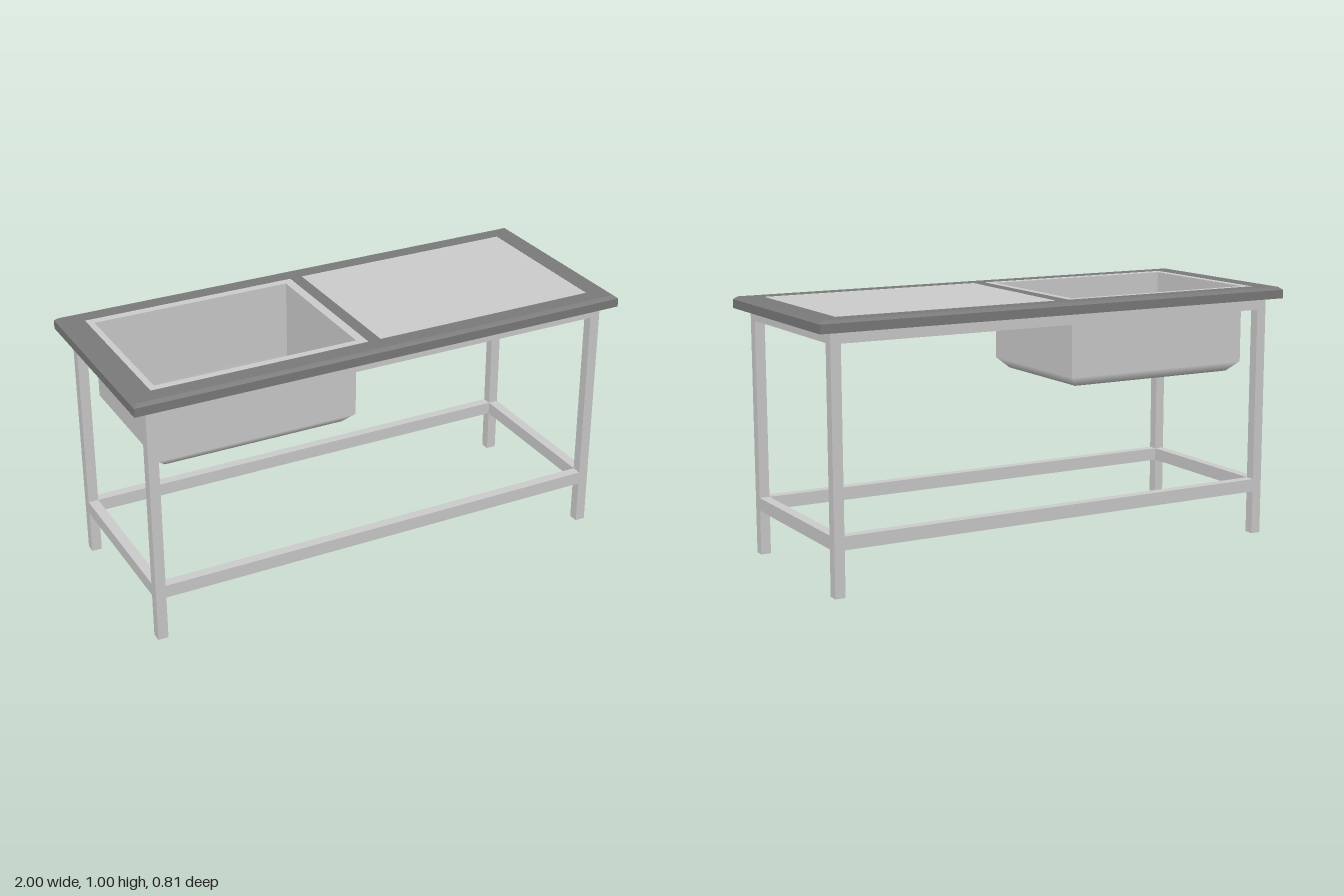
import * as THREE from 'three';

const steel = new THREE.MeshStandardMaterial({ color: 0xcccccc });
const sheet = new THREE.MeshStandardMaterial({ color: 0xcccccc, side: THREE.DoubleSide });
const dark = new THREE.MeshStandardMaterial({ color: 0x7a7a7a });

// Plan rectangles: [x0, x1, z0, z1]
const TOP = [-1, 1, -0.407, 0.407];
const SINK_INLAY = [-0.905, -0.05, -0.325, 0.325];
const DRAIN_INLAY = [0, 0.905, -0.325, 0.325];
const BASIN = [-0.88, -0.085, -0.293, 0.293];
const RIM_Y = 0.96, TOP_Y = 1.005;

function rectPath(Type, [x0, x1, z0, z1]) {
  return new Type([[x0, z0], [x1, z0], [x1, z1], [x0, z1]].map(([x, z]) => new THREE.Vector2(x, -z)));
}

// Horizontal plate with rectangular holes, from y0 to y1
function plateGeometry(rect, holes, y0, y1, steps = 1) {
  const shape = rectPath(THREE.Shape, rect);
  shape.holes = holes.map((h) => rectPath(THREE.Path, h));
  return new THREE.ExtrudeGeometry(shape, { depth: y1 - y0, steps, bevelEnabled: false })
    .rotateX(-Math.PI / 2).translate(0, y0, 0);
}

function add(parent, name, geometry, material) {
  const mesh = new THREE.Mesh(geometry, material);
  mesh.name = name;
  parent.add(mesh);
  return mesh;
}

function addBox(parent, name, w, h, d, x, y, z) {
  add(parent, name, new THREE.BoxGeometry(w, h, d), steel).position.set(x, y, z);
}

// Open basin: four walls with a softly shaded chamfer down to a flat floor
function basinGeometry([x0, x1, z0, z1], top, knee, floor, inset) {
  const ring = (i, y) => [[x0 + i, y, z1 - i], [x1 - i, y, z1 - i], [x1 - i, y, z0 + i], [x0 + i, y, z0 + i]];
  const rings = [ring(0, top), ring(0, knee), ring(inset, floor)];
  const sides = [[0, 0, 1], [1, 0, 0], [0, 0, -1], [-1, 0, 0]];
  const down = [0, -1, 0];
  const pos = [], nor = [], idx = [];
  const quad = (corners, normals) => {
    const b = pos.length / 3;
    corners.forEach((c) => pos.push(...c));
    normals.forEach((n) => nor.push(...n));
    idx.push(b, b + 1, b + 2, b, b + 2, b + 3);
  };
  sides.forEach((n, i) => {
    const j = (i + 1) % 4;
    for (let r = 0; r < 2; r++) {
      const low = r ? down : n;
      quad([rings[r + 1][i], rings[r + 1][j], rings[r][j], rings[r][i]], [low, low, n, n]);
    }
  });
  quad([...rings[2]].reverse(), [down, down, down, down]);
  const g = new THREE.BufferGeometry();
  g.setAttribute('position', new THREE.Float32BufferAttribute(pos, 3));
  g.setAttribute('normal', new THREE.Float32BufferAttribute(nor, 3));
  g.setIndex(idx);
  return g;
}

// Dark border of the worktop, its upper outer edge chamfered
function borderGeometry() {
  const g = plateGeometry(TOP, [SINK_INLAY, DRAIN_INLAY], RIM_Y, TOP_Y, 4);
  const p = g.attributes.position;
  const limit = (v, m) => Math.max(-m, Math.min(m, v));
  for (let i = 0; i < p.count; i++) {
    if (p.getY(i) > TOP_Y - 0.001) {
      p.setX(i, limit(p.getX(i), TOP[1] - 0.015));
      p.setZ(i, limit(p.getZ(i), TOP[3] - 0.015));
    }
  }
  g.computeVertexNormals();
  return g;
}

export function createModel() {
  const model = new THREE.Group();
  model.name = 'sinkTable';

  // Worktop
  const worktop = new THREE.Group();
  worktop.name = 'worktop';
  model.add(worktop);
  add(worktop, 'worktopBorder', borderGeometry(), dark);
  add(worktop, 'drainBoard', plateGeometry(DRAIN_INLAY, [], RIM_Y, TOP_Y - 0.001), steel);
  add(worktop, 'sinkCollar', plateGeometry(SINK_INLAY, [BASIN], RIM_Y, TOP_Y - 0.001), steel);
  add(worktop, 'undersheet', plateGeometry([-0.905, 0.905, -0.327, 0.327], [BASIN], 0.955, RIM_Y), steel);
  add(worktop, 'basin', basinGeometry(BASIN, TOP_Y - 0.001, 0.7, 0.66, 0.04), sheet);

  // Frame of square legs with flush rails
  const frame = new THREE.Group();
  frame.name = 'frame';
  model.add(frame);
  const t = 0.04, lx = 0.925, lz = 0.347;
  for (const sx of [-1, 1]) {
    for (const sz of [-1, 1]) addBox(frame, 'leg', t, RIM_Y, t, sx * lx, RIM_Y / 2, sz * lz);
  }
  for (const [name, y0, y1] of [['upper', 0.916, RIM_Y], ['lower', 0.175, 0.226]]) {
    const h = y1 - y0, y = (y0 + y1) / 2;
    for (const s of [-1, 1]) {
      addBox(frame, name + 'LongRail', 2 * lx - t, h, t, 0, y, s * lz);
      addBox(frame, name + 'EndRail', t, h, 2 * lz - t, s * lx, y, 0);
    }
  }
  return model;
}
